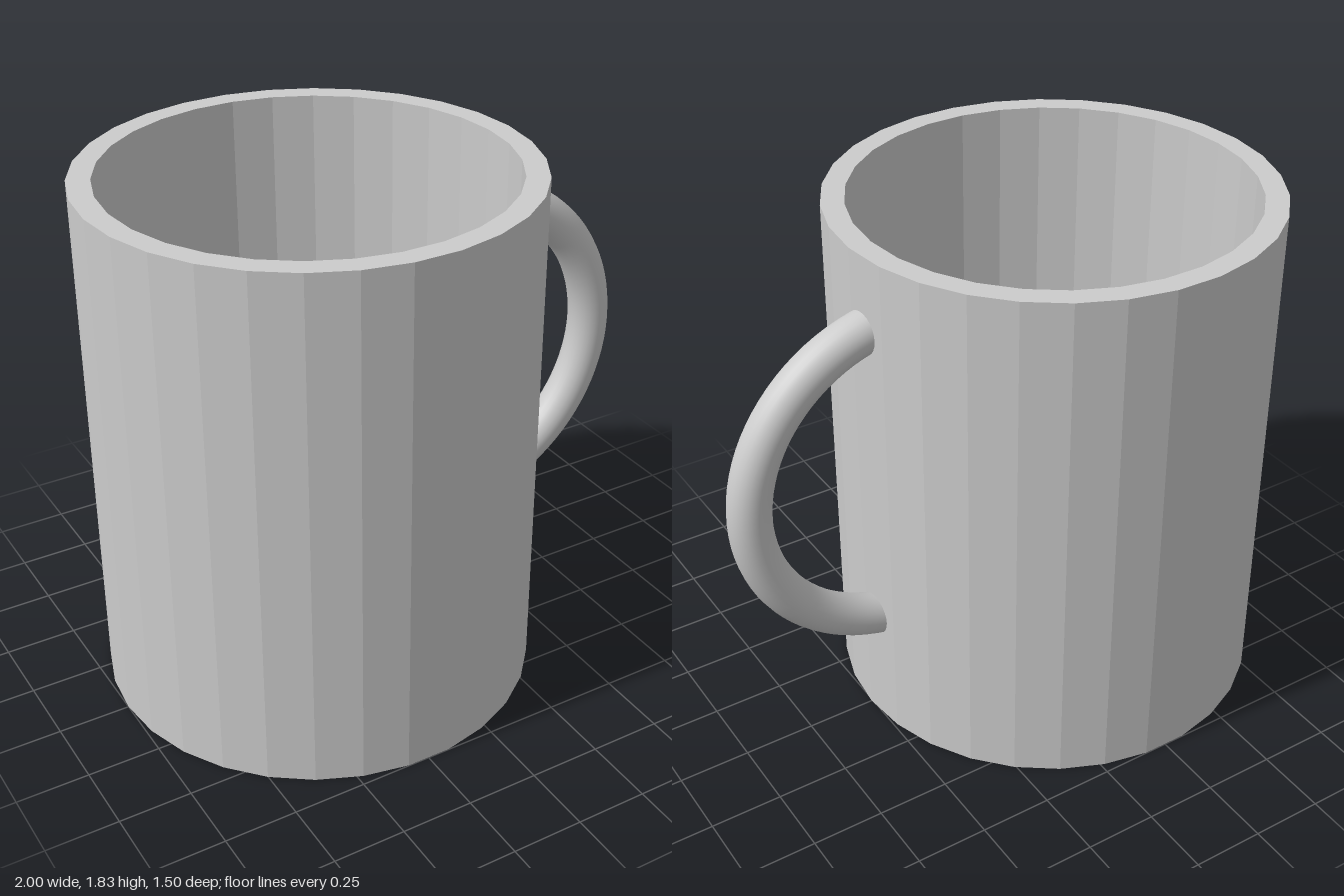
import * as THREE from 'three';

export function createModel() {
  const model = new THREE.Group();
  model.name = 'mug';

  const height = 1.825, outer = 0.7525, inner = 0.675, floor = 0.08;
  const centreX = -0.2475;

  // Faceted cup: outside wall, flat rim, inside wall and floor in one profile
  const profile = [
    [0, 0], [outer, 0], [outer, height], [inner, height], [inner, floor], [0, floor],
  ].map(([x, y]) => new THREE.Vector2(x, y));
  const cup = new THREE.Mesh(
    new THREE.LatheGeometry(profile, 30, Math.PI / 2),
    new THREE.MeshStandardMaterial({ color: 0xcccccc, flatShading: true })
  );
  cup.name = 'cup';
  cup.position.x = centreX;
  model.add(cup);

  // Smooth round handle: an arc whose open ends are buried in the wall
  const halfArc = THREE.MathUtils.degToRad(79);
  const handle = new THREE.Mesh(
    new THREE.TorusGeometry(0.574, 0.073, 24, 40, halfArc * 2),
    new THREE.MeshStandardMaterial({ color: 0xcccccc })
  );
  handle.name = 'handle';
  handle.rotation.z = -halfArc;
  handle.position.set(0.353, 0.995, -0.045);
  model.add(handle);

  return model;
}
